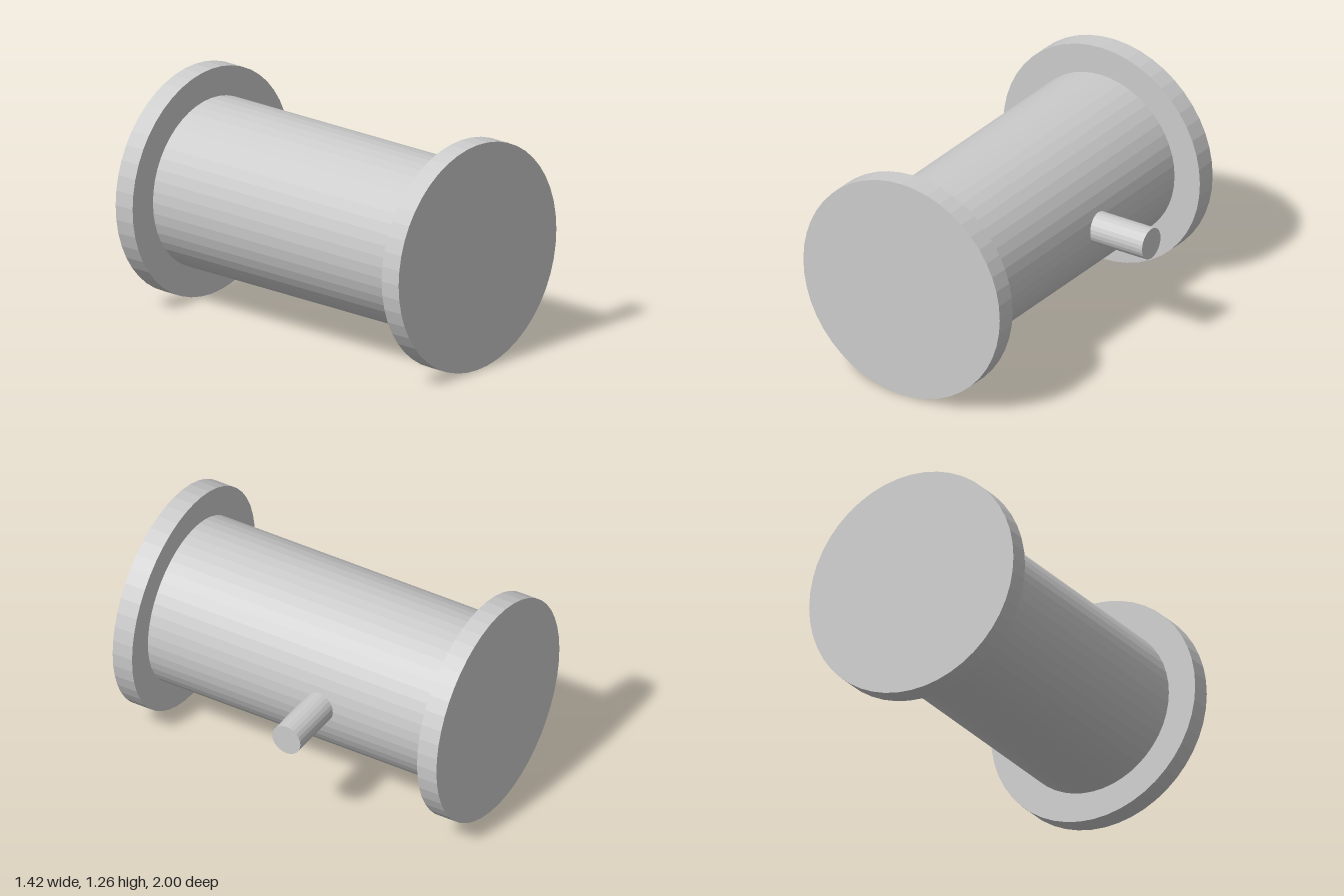
import * as THREE from 'three';

const AXIS_X = -0.085;
const AXIS_Y = 0.63;

export function createModel() {
  const group = new THREE.Group();
  const material = new THREE.MeshStandardMaterial({ color: 0xcccccc, flatShading: true });

  function addCylinder(name, radius, length, sides, position) {
    const mesh = new THREE.Mesh(new THREE.CylinderGeometry(radius, radius, length, sides), material);
    mesh.name = name;
    mesh.position.set(...position);
    group.add(mesh);
    return mesh;
  }

  // Barrel lying along z
  addCylinder('barrel', 0.466, 1.76, 48, [AXIS_X, AXIS_Y, 0]).rotation.x = Math.PI / 2;

  // Wide end discs
  for (const side of [1, -1]) {
    const name = side > 0 ? 'frontFlange' : 'backFlange';
    addCylinder(name, 0.628, 0.12, 48, [AXIS_X, AXIS_Y, side * 0.94]).rotation.x = Math.PI / 2;
  }

  // Side peg, sunk slightly into the barrel
  const pegStart = 0.34, pegEnd = 0.712;
  addCylinder('sidePeg', 0.087, pegEnd - pegStart, 24,
    [(pegStart + pegEnd) / 2, AXIS_Y, -0.175]).rotation.z = -Math.PI / 2;

  return group;
}
